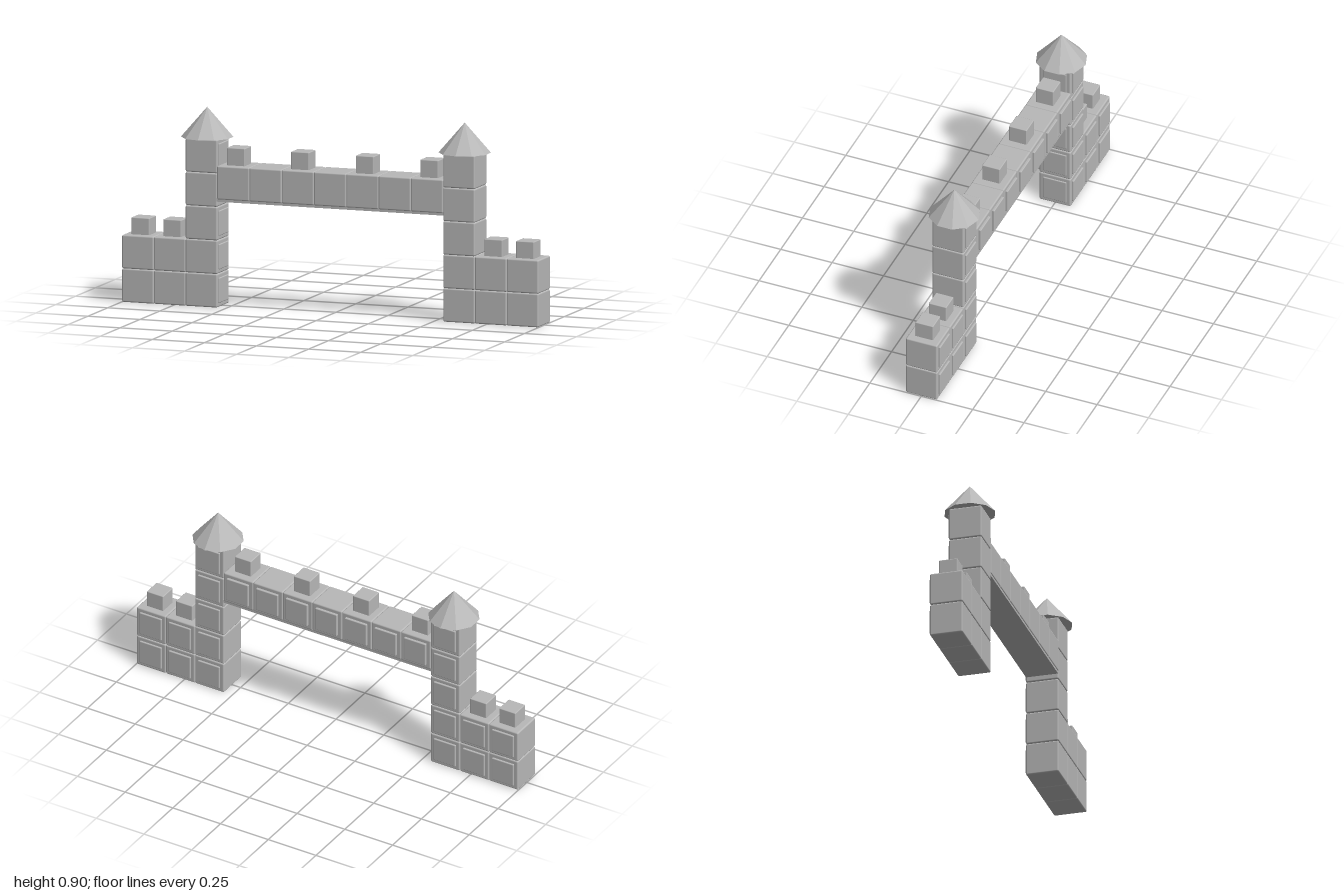
import * as THREE from 'three';
import { RoundedBoxGeometry } from 'three/addons/geometries/RoundedBoxGeometry.js';

export function createModel() {
  const model = new THREE.Group();
  const stone = new THREE.MeshStandardMaterial({ color: 0xb8b8b8 });
  stone.name = 'grey stone';

  const S = 0.1525; // block size
  const blockGeo = new RoundedBoxGeometry(S, S, S, 2, 0.007);
  const bridgeGeo = new RoundedBoxGeometry(0.1555, 0.153, 0.156, 2, 0.007);
  const merlonGeo = new RoundedBoxGeometry(0.086, 0.09, 0.086, 2, 0.004);
  const panelGeo = new RoundedBoxGeometry(0.114, 0.114, 0.018, 2, 0.004);
  const roofGeo = new THREE.ConeGeometry(0.118, 0.136, 10).toNonIndexed();
  roofGeo.computeVertexNormals(); // faceted roof

  const add = (parent, name, geo, x, y, z = 0) => {
    const mesh = new THREE.Mesh(geo, stone);
    mesh.name = name;
    mesh.position.set(x, y, z);
    parent.add(mesh);
    return mesh;
  };
  const group = (name) => {
    const g = new THREE.Group();
    g.name = name;
    model.add(g);
    return g;
  };
  // Block with a raised panel on its back face
  const block = (parent, name, geo, x, y, depth) => {
    add(parent, name, geo, x, y);
    add(parent, 'backPanel', panelGeo, x, y, -depth / 2 + 0.001);
  };

  for (const side of [-1, 1]) {
    const label = side > 0 ? 'left' : 'right';

    // Tower of five blocks under a pointed roof
    const tower = group(label + 'Tower');
    const tx = side * 0.618;
    for (let row = 0; row < 5; row++) {
      const y = S * (row + 0.5);
      block(tower, 'towerBlock', blockGeo, tx, y, S);
      if (side < 0) {
        const p = add(tower, 'sidePanel', panelGeo, tx + S / 2 - 0.004, y);
        p.rotation.y = Math.PI / 2;
      }
    }
    add(tower, 'roof', roofGeo, tx, 0.762 + 0.068);

    // Low wall, two blocks wide and two high, with merlons
    const wall = group(label + 'Wall');
    for (let col = 1; col <= 2; col++) {
      const x = side * (0.618 + col * S);
      for (let row = 0; row < 2; row++) {
        block(wall, 'wallBlock', blockGeo, x, S * (row + 0.5), S);
      }
      add(wall, 'merlon', merlonGeo, x, 0.337);
    }
  }

  // Bridge between the towers
  const bridge = group('bridge');
  for (let i = 0; i < 7; i++) {
    const x = (i - 3) * 0.155;
    block(bridge, 'bridgeBlock', bridgeGeo, x, 0.5685, 0.162);
  }
  for (const x of [-0.465, -0.157, 0.153, 0.463]) add(bridge, 'merlon', merlonGeo, x, 0.68);
  add(bridge, 'undersideBeam', new THREE.BoxGeometry(1.09, 0.016, 0.15), 0, 0.49);

  return model;
}
